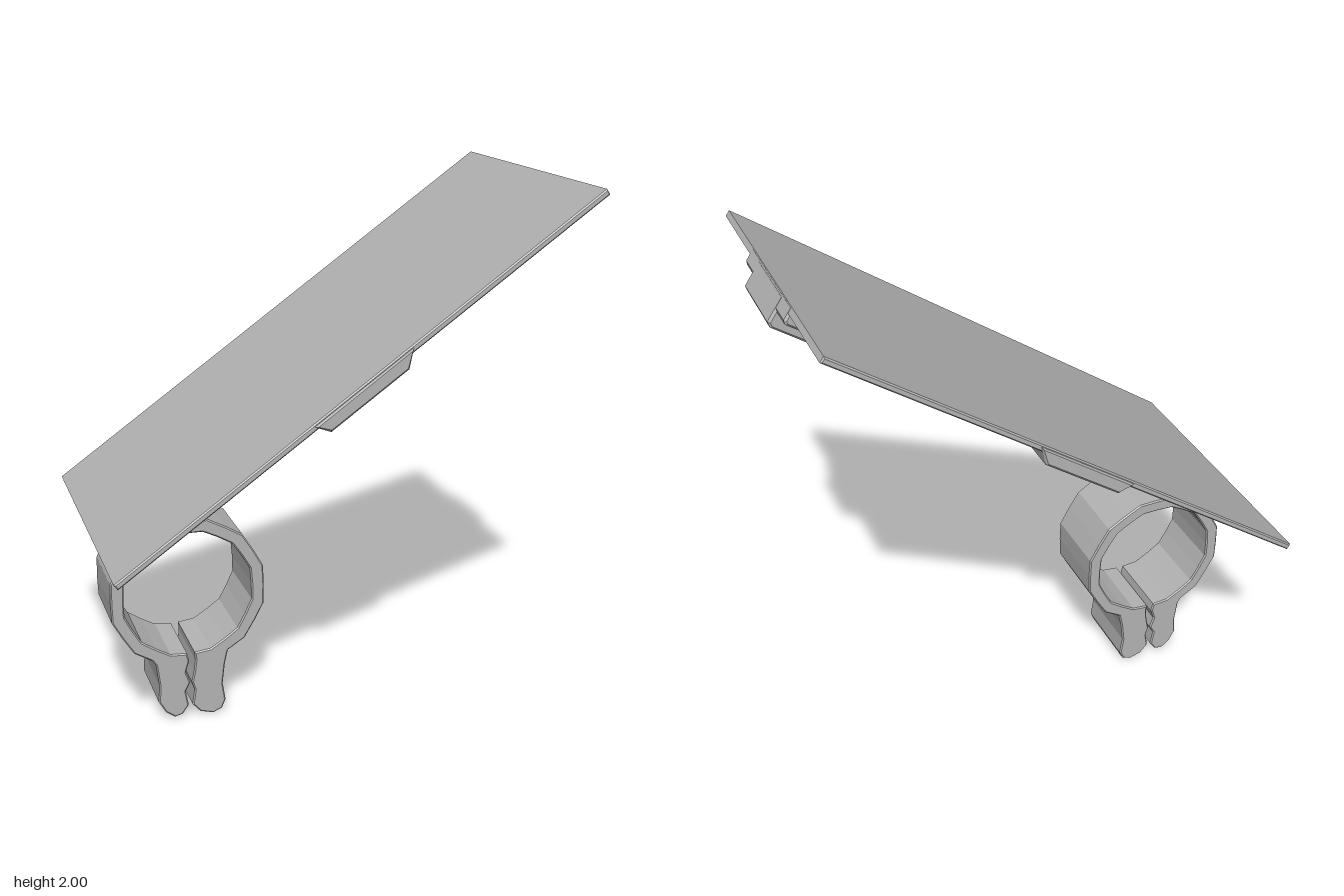
import * as THREE from 'three';

const grey = new THREE.MeshStandardMaterial({ color: 0xb4b4b4 });
grey.name = 'plain grey';

// Extrudes an xy outline along z between z0 and z1, with softened edges
function extrude(name, points, z0, z1, bevel = 0.008) {
  const shape = new THREE.Shape(points.map(([x, y]) => new THREE.Vector2(x, y)));
  const geometry = new THREE.ExtrudeGeometry(shape, {
    depth: z1 - z0 - 2 * bevel, bevelThickness: bevel, bevelSize: bevel,
    bevelOffset: -bevel, bevelSegments: 1, steps: 1,
  });
  geometry.translate(0, 0, z0 + bevel);
  const mesh = new THREE.Mesh(geometry, grey);
  mesh.name = name;
  return mesh;
}

// Points along the slightly wavy clamp ring, angles in degrees
function ringArc(radius, from, to, steps, wave) {
  const points = [];
  for (let i = 0; i <= steps; i++) {
    const a = THREE.MathUtils.degToRad(from + (to - from) * i / steps);
    const r = radius + (i % 2 ? wave : -wave);
    points.push([-0.563 + r * Math.cos(a), 0.51 + r * Math.sin(a)]);
  }
  return points;
}

export function createModel() {
  const model = new THREE.Group();
  model.name = 'clampHolder';

  // Sloping tray: x runs up the slope, y is perpendicular to the plate
  const tray = new THREE.Group();
  tray.name = 'tray';
  tray.position.set(-0.91, 0.775, 0);
  tray.rotation.z = Math.atan2(1.225, 1.755);
  model.add(tray);

  tray.add(extrude('plate', [[0, -0.024], [2.14, -0.024], [2.14, 0], [0, 0]], -0.565, 0.565, 0.005));
  tray.add(extrude('spine', [
    [0.2, -0.01], [0.2, -0.118], [2.125, -0.118], [2.142, -0.105], [2.142, -0.01],
  ], -0.145, 0.145));
  tray.add(extrude('lowerLip', [
    [0, -0.004], [-0.002, -0.055], [0.012, -0.068], [0.075, -0.068], [0.1, -0.045], [0.11, -0.01],
  ], -0.235, 0.235));
  tray.add(extrude('upperLip', [
    [1.92, -0.01], [1.935, -0.05], [1.955, -0.062], [2.13, -0.062], [2.141, -0.05], [2.141, -0.004],
  ], -0.235, 0.235));

  // Cross arms with wider outer pads
  tray.add(extrude('crossArm', [
    [0.88, -0.01], [0.915, -0.06], [1.165, -0.06], [1.22, -0.01],
  ], -0.5, 0.5));
  for (const side of [-1, 1]) {
    const [a, b] = side > 0 ? [0.45, 0.574] : [-0.574, -0.45];
    tray.add(extrude('armPad', [
      [0.85, -0.008], [0.885, -0.06], [1.225, -0.06], [1.28, -0.008],
    ], a, b));
  }

  // Neck joining the tray to the ring
  model.add(extrude('neck', [
    [-0.79, 0.84], [-0.785, 0.8], [-0.73, 0.77], [-0.715, 0.75], [-0.74, 0.725], [-0.68, 0.74],
    [-0.56, 0.765], [-0.535, 0.795], [-0.605, 0.805], [-0.595, 0.84], [-0.53, 0.895], [-0.62, 0.95],
  ], -0.143, 0.143));

  // Split clamp ring with two jaws at the bottom
  model.add(extrude('clampRing', [
    ...ringArc(0.296, -60, 240, 20, 0.004),
    [-0.695, 0.235], [-0.685, 0.15], [-0.69, 0.08], [-0.665, 0.035], [-0.63, 0.008],
    [-0.6, 0.015], [-0.575, 0.05], [-0.585, 0.11], [-0.566, 0.145], [-0.582, 0.19], [-0.568, 0.235],
    ...ringArc(0.246, 267, -86, 24, 0.003),
    [-0.544, 0.235], [-0.55, 0.19], [-0.56, 0.145], [-0.55, 0.11], [-0.56, 0.05],
    [-0.53, 0.015], [-0.48, 0], [-0.445, 0.015], [-0.43, 0.05], [-0.44, 0.12], [-0.43, 0.2],
  ], -0.143, 0.143, 0.005));

  return model;
}
